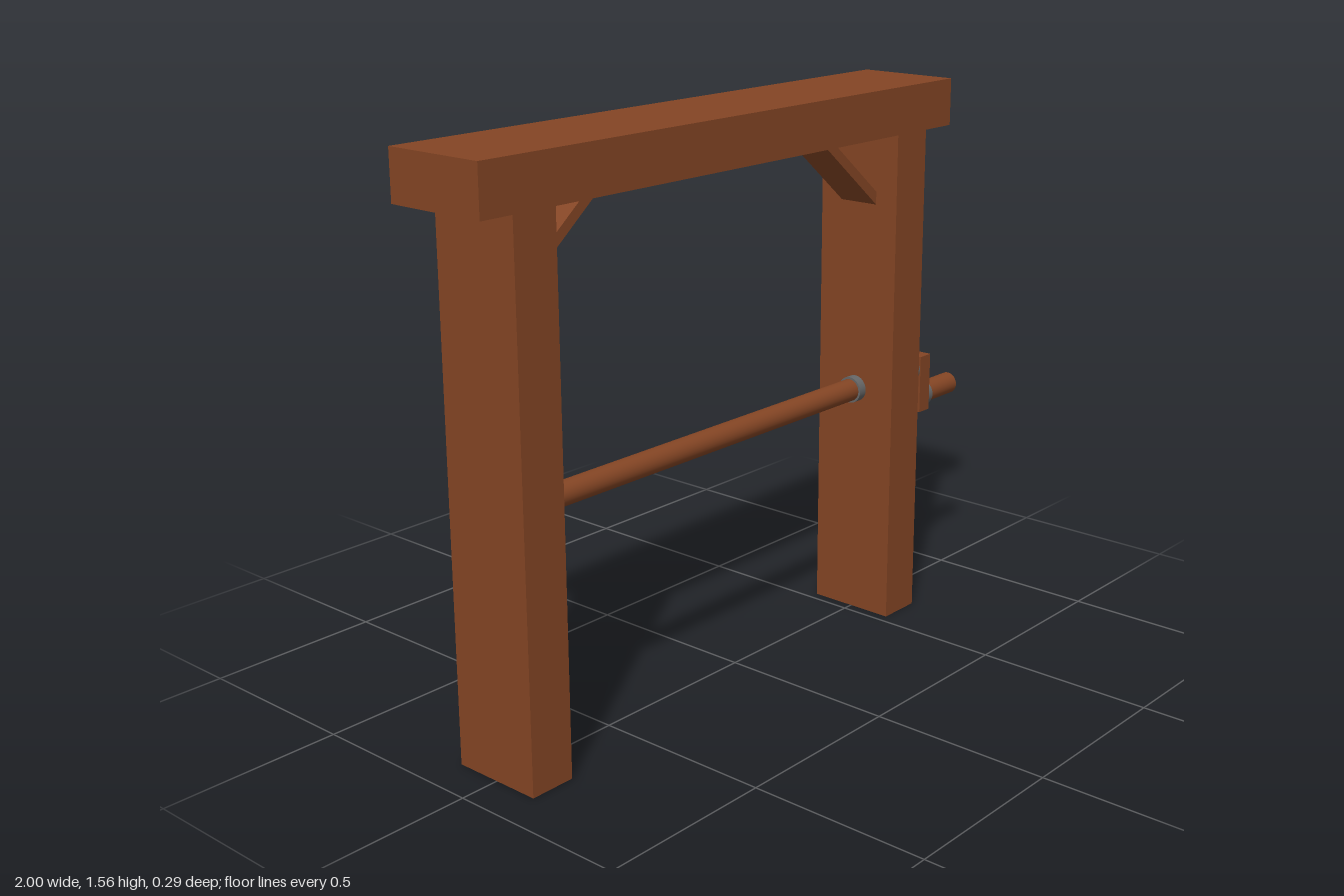
import * as THREE from 'three';

const wood = new THREE.MeshStandardMaterial({ color: 0x844524 });
const iron = new THREE.MeshStandardMaterial({ color: 0x666666 });

export function createModel() {
  const model = new THREE.Group();
  model.name = 'windlassFrame';

  const add = (name, geometry, material, x, y) => {
    const mesh = new THREE.Mesh(geometry, material);
    mesh.name = name;
    mesh.position.set(x, y, 0);
    model.add(mesh);
    return mesh;
  };
  // Box given by its x and y limits and its full depth
  const block = (name, x0, x1, y0, y1, depth) =>
    add(name, new THREE.BoxGeometry(x1 - x0, y1 - y0, depth), wood, (x0 + x1) / 2, (y0 + y1) / 2);
  // Round bar lying along x
  const rod = (name, x0, x1, y, radius, material) =>
    add(name, new THREE.CylinderGeometry(radius, radius, x1 - x0, 32).rotateZ(Math.PI / 2), material, (x0 + x1) / 2, y);
  // Diagonal plank between a post and the beam, its ends sunk into both
  const brace = (name, x0, y0, x1, y1) => {
    const dx = x1 - x0, dy = y1 - y0;
    const plank = new THREE.BoxGeometry(Math.hypot(dx, dy) + 0.08, 0.028, 0.12);
    add(name, plank, wood, (x0 + x1) / 2, (y0 + y1) / 2).rotation.z = Math.atan2(dy, dx);
  };

  // Frame
  block('rightPost', -0.89, -0.76, 0, 1.43, 0.26);
  block('leftPost', 0.53, 0.66, 0, 1.43, 0.26);
  block('topBeam', -1, 0.75, 1.43, 1.56, 0.294);
  brace('rightBrace', -0.76, 1.273, -0.567, 1.43);
  brace('leftBrace', 0.53, 1.243, 0.302, 1.43);

  // Axle and crank
  const axleY = 0.68, handleY = 0.59;
  rod('axle', -0.8, 0.81, axleY, 0.032, wood);
  block('crankArm', 0.797, 0.845, 0.55, 0.722, 0.08);
  rod('crankHandle', 0.83, 1, handleY, 0.032, wood);

  // Iron collars: start x, end x, height
  [
    [-0.76, -0.727, axleY],
    [0.503, 0.53, axleY],
    [0.66, 0.685, axleY],
    [0.776, 0.797, axleY],
    [0.845, 0.867, handleY],
  ].forEach(([x0, x1, y]) => rod('collar', x0, x1, y, 0.038, iron));

  return model;
}
